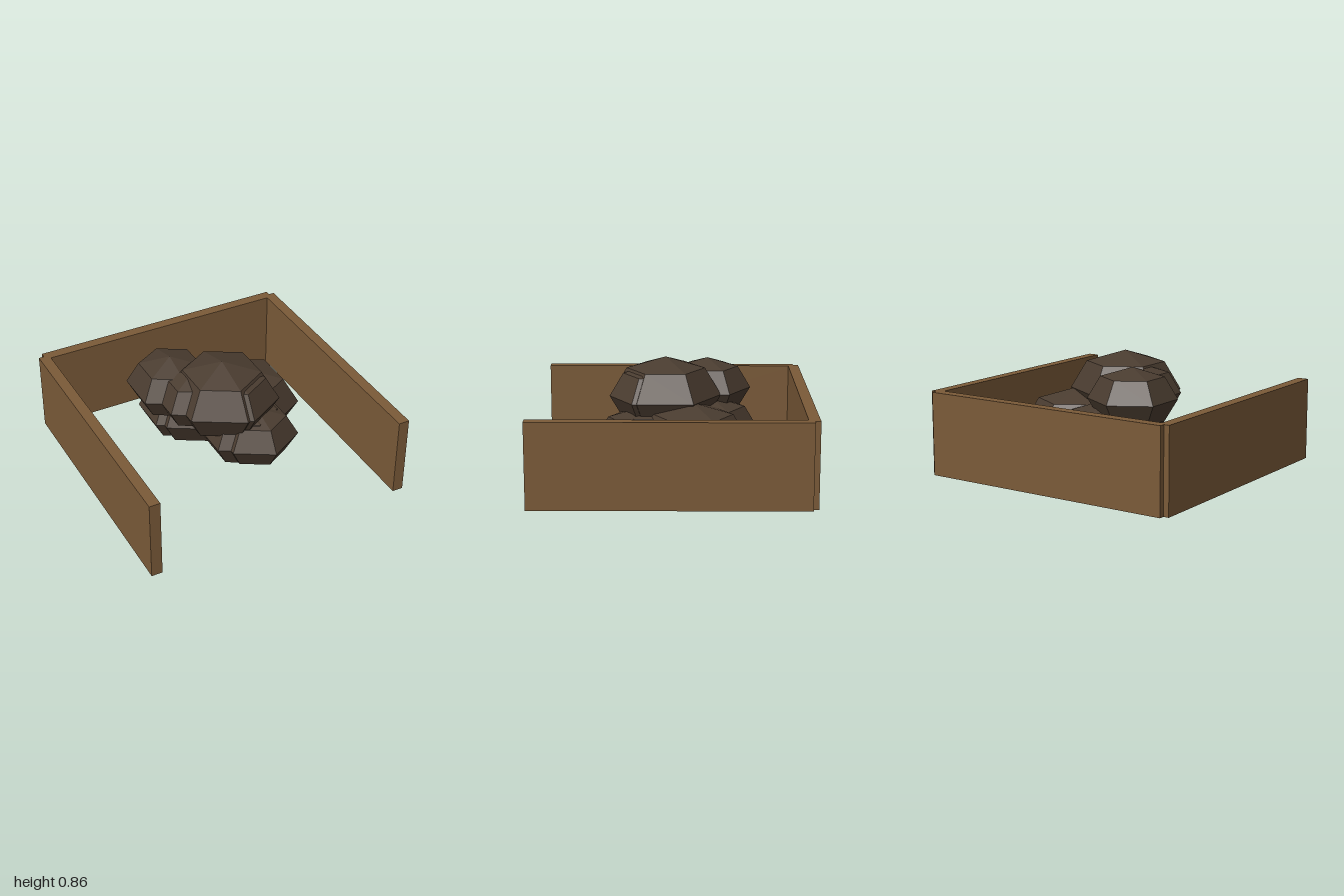
import * as THREE from 'three';

export function createModel() {
  const group = new THREE.Group();
  const wood = new THREE.MeshStandardMaterial({ color: 0x7a5a38, flatShading: true });
  const soil = new THREE.MeshStandardMaterial({ color: 0x4a3c30, flatShading: true });

  function add(name, geometry, material, x, y, z) {
    const mesh = new THREE.Mesh(geometry, material);
    mesh.name = name;
    mesh.position.set(x, y, z);
    group.add(mesh);
    return mesh;
  }

  // Three-sided plank bin, open at the front
  const height = 0.605;
  add('backWall', new THREE.BoxGeometry(1.92, height, 0.08), wood, 0, height / 2, -0.94);
  for (const [name, side] of [['leftWall', 1], ['rightWall', -1]]) {
    add(name, new THREE.BoxGeometry(0.08, height, 1.92), wood, side * 0.96, height / 2, 0.02);
  }

  // Heap of squashed six-sided clumps in two layers, corners pointing front and back
  const clump = new THREE.SphereGeometry(1, 6, 4).rotateY(Math.PI / 6);
  const layers = [
    { name: 'lowerClump', y: 0.3, clumps: [
      [0.305, -0.14, 0.403], [0.19, 0.247, 0.308], [-0.055, -0.268, 0.357],
      [-0.16, -0.305, 0.3], [0.14, 0.15, 0.343],
    ] },
    { name: 'upperClump', y: 0.577, clumps: [
      [0.012, 0.055, 0.4], [-0.253, -0.248, 0.32], [-0.165, -0.03, 0.3], [0.06, 0.12, 0.34],
    ] },
  ];
  for (const { name, y, clumps } of layers) {
    clumps.forEach(([x, z, r], i) => {
      add(name + (i + 1), clump, soil, x, y, z).scale.set(r, r * 0.7, r);
    });
  }

  return group;
}
